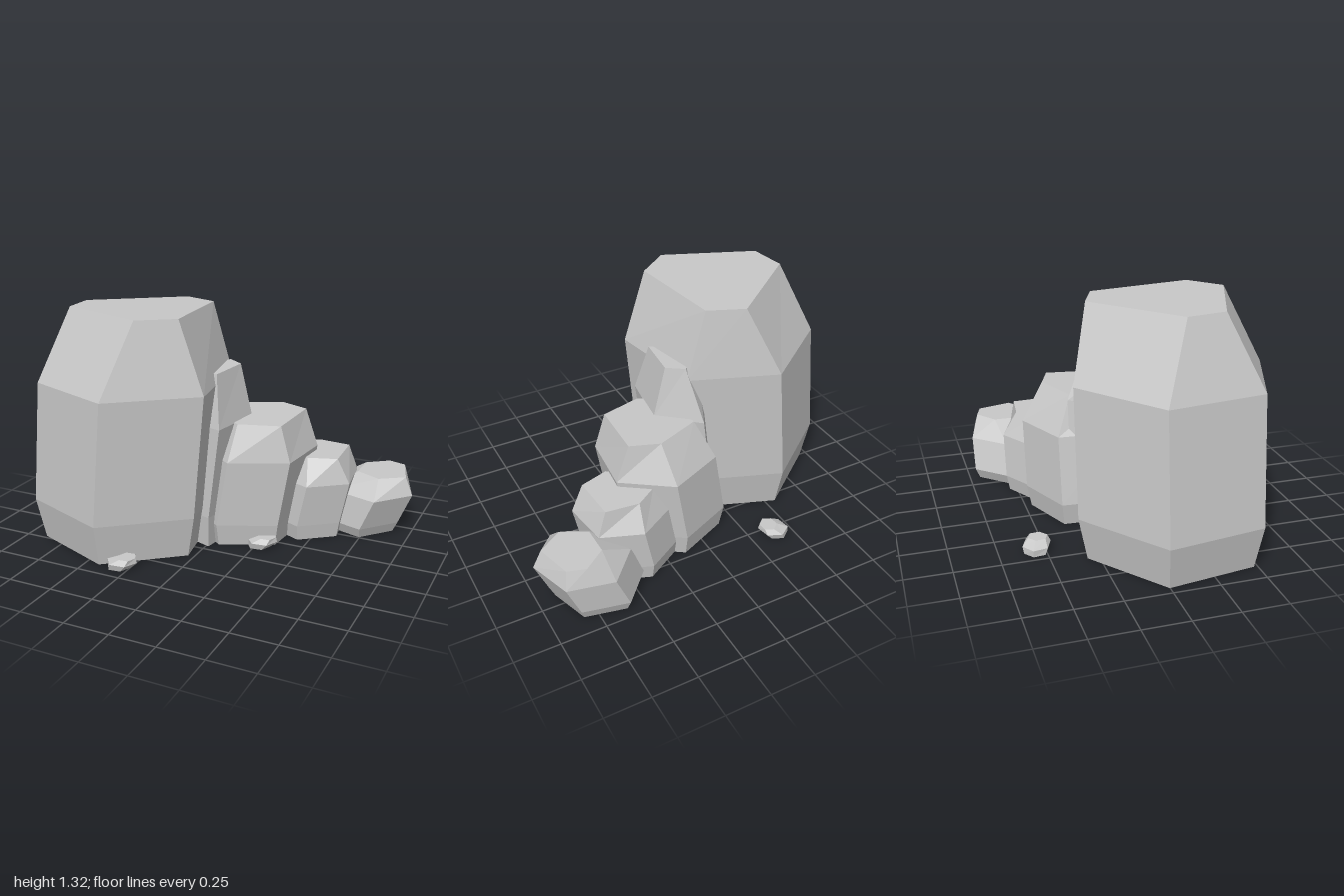
import * as THREE from 'three';

const stone = new THREE.MeshStandardMaterial({ color: 0xc8c8c8, flatShading: true });
stone.name = 'light grey stone';

// Skin a stack of rings, listed bottom to top; each ring holds [x, y, z] corners
function loft(rings) {
  const pos = [];
  const n = rings[0].length;
  const last = rings.length - 1;
  const at = (r, i) => rings[r][i % n];
  for (let r = 0; r < last; r++) {
    for (let i = 0; i < n; i++) {
      const a = at(r, i), b = at(r, i + 1), c = at(r + 1, i + 1), d = at(r + 1, i);
      pos.push(...a, ...b, ...c, ...a, ...c, ...d);
    }
  }
  for (let i = 1; i < n - 1; i++) {
    pos.push(...at(last, 0), ...at(last, i), ...at(last, i + 1));
    pos.push(...at(0, 0), ...at(0, i + 1), ...at(0, i));
  }
  const g = new THREE.BufferGeometry();
  g.setAttribute('position', new THREE.Float32BufferAttribute(pos, 3));
  g.computeVertexNormals();
  return g;
}

function scaled(pts, s) {
  const cx = pts.reduce((t, p) => t + p[0], 0) / pts.length;
  const cz = pts.reduce((t, p) => t + p[1], 0) / pts.length;
  return pts.map(([x, z]) => [cx + (x - cx) * s, cz + (z - cz) * s]);
}

// Lift flat [x, z] corners to height y, optionally rising along z
const lift = (pts, y, tilt = 0, z0 = 0) => pts.map(([x, z]) => [x, y + tilt * (z - z0), z]);

// Leaning boulder: tucked-in base, straight flanks, tapered crown.
// Corners run from the right front, round the back and left, to the front.
function boulder(name, { yLow, yShoulder, yTop, lean, tuck = 0.93, tilt = 0, shoulder, crown }) {
  const low = shoulder.map(([x, z]) => [x + lean, z]);
  const mesh = new THREE.Mesh(loft([
    lift(scaled(low, tuck), 0),
    lift(low, yLow),
    lift(shoulder, yShoulder),
    lift(crown, yTop, tilt, crown[0][1]),
  ]), stone);
  mesh.name = name;
  return mesh;
}

// Loose six-sided pebble with a sideways slant
function pebble(name, x, z, turn) {
  const ring = (y, rx, rz, dx) => Array.from({ length: 6 }, (_, i) => {
    const a = (i / 6) * Math.PI * 2;
    return [dx + rx * Math.cos(a), y, -rz * Math.sin(a)];
  });
  const mesh = new THREE.Mesh(loft([
    ring(0, 0.066, 0.066, -0.02),
    ring(0.035, 0.086, 0.078, 0),
    ring(0.062, 0.05, 0.055, 0.03),
  ]), stone);
  mesh.position.set(x, 0, z);
  mesh.rotation.y = turn;
  mesh.name = name;
  return mesh;
}

export function createModel() {
  const group = new THREE.Group();
  group.name = 'rockCluster';

  // Boulders, from the tallest down to the lowest
  group.add(boulder('largeBoulder', {
    yLow: 0.235, yShoulder: 0.925, yTop: 1.32, lean: -0.065, tuck: 0.91, tilt: 0.015,
    shoulder: [[0.075, 0.38], [-0.02, -0.18], [-0.5, -0.36], [-0.935, -0.02], [-0.86, 0.51], [-0.35, 0.71]],
    crown: [[-0.06, 0.39], [-0.13, -0.17], [-0.33, -0.25], [-0.78, 0.12], [-0.75, 0.33], [-0.24, 0.53]],
  }));
  group.add(boulder('tallSlab', {
    yLow: 0.18, yShoulder: 0.7, yTop: 0.985, lean: -0.065, tilt: -0.02,
    shoulder: [[0.09, 0.23], [0.14, -0.1], [-0.07, -0.285], [-0.3, 0.1]],
    crown: [[0.04, 0.15], [0.07, -0.1], [-0.02, -0.165], [-0.2, 0.05]],
  }));
  group.add(boulder('middleBoulder', {
    yLow: 0.125, yShoulder: 0.505, yTop: 0.706, lean: -0.065, tilt: -0.025,
    shoulder: [[0.43, 0.05], [0.465, -0.3], [0.2, -0.485], [-0.11, -0.35], [-0.13, 0], [0.12, 0.19]],
    crown: [[0.37, 0.04], [0.39, -0.3], [0.23, -0.36], [-0.02, -0.26], [0, 0], [0.14, 0.1]],
  }));
  group.add(boulder('smallBoulder', {
    yLow: 0.09, yShoulder: 0.335, yTop: 0.477, lean: -0.05,
    shoulder: [[0.69, -0.21], [0.655, -0.475], [0.43, -0.56], [0.21, -0.43], [0.25, -0.17], [0.49, -0.06]],
    crown: [[0.62, -0.2], [0.605, -0.46], [0.42, -0.48], [0.3, -0.4], [0.32, -0.25], [0.46, -0.15]],
  }));
  group.add(boulder('endBoulder', {
    yLow: 0.06, yShoulder: 0.24, yTop: 0.342, lean: -0.075, tuck: 0.89,
    shoulder: [[1, -0.42], [0.92, -0.66], [0.67, -0.715], [0.5, -0.53], [0.55, -0.32], [0.83, -0.23]],
    crown: [[0.955, -0.43], [0.9, -0.63], [0.8, -0.66], [0.68, -0.57], [0.68, -0.41], [0.82, -0.34]],
  }));

  group.add(
    pebble('backPebble', -0.39, -0.545, -0.4),
    pebble('frontPebble', -0.295, 0.63, 0.1),
    pebble('middlePebble', 0.285, 0.075, 0.1),
  );
  return group;
}
